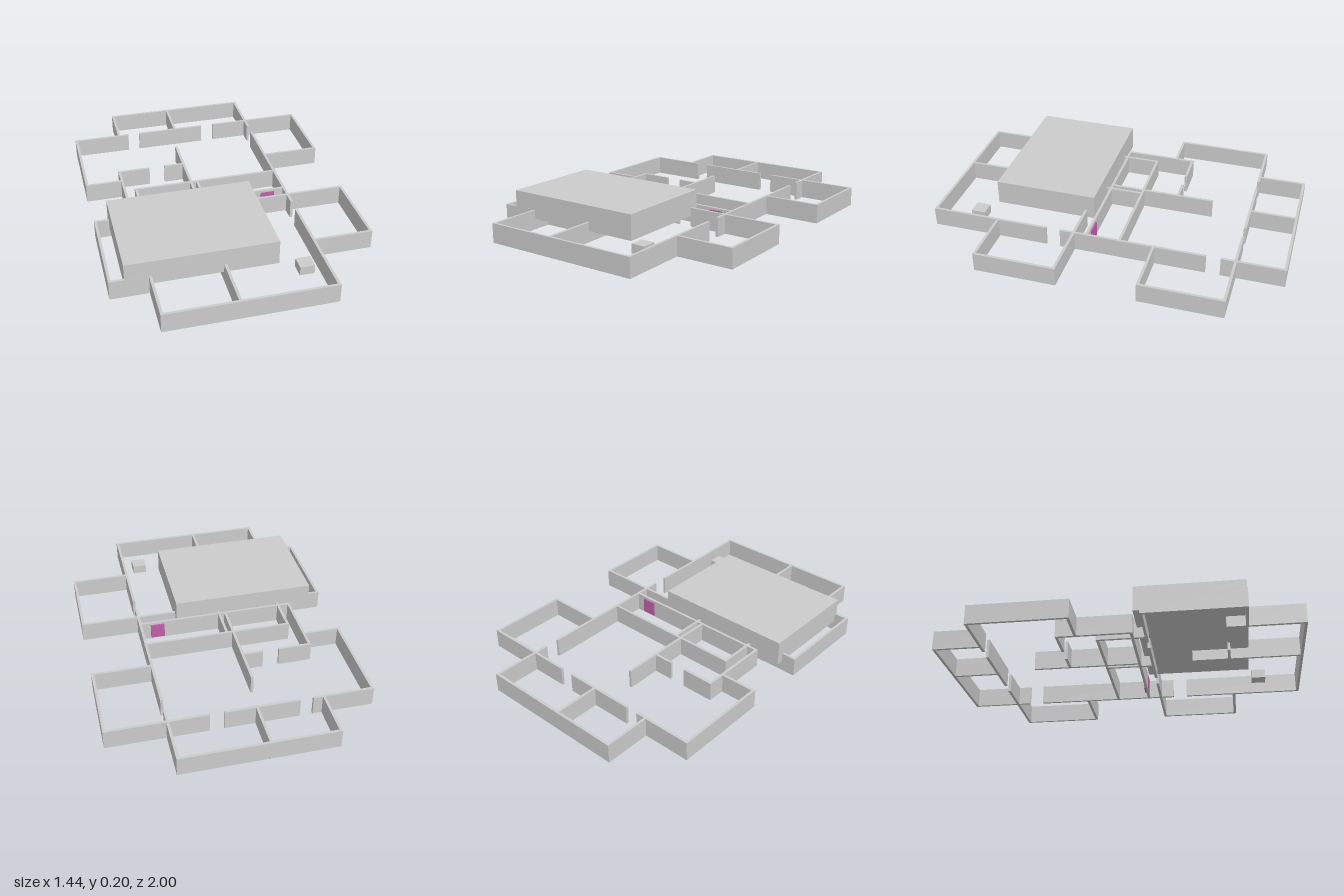
import * as THREE from 'three';

const WALL_HEIGHT = 0.108;
const T = 0.015; // wall thickness
const PLAN_OFFSET = 0.897; // distance between the two identical floor plans

const grey = new THREE.MeshStandardMaterial({ color: 0xcccccc });
const pink = new THREE.MeshStandardMaterial({ color: 0xc060a8 });

// Box given by its minimum and maximum corners
function block(name, [x0, y0, z0], [x1, y1, z1], material = grey) {
  const mesh = new THREE.Mesh(new THREE.BoxGeometry(x1 - x0, y1 - y0, z1 - z0), material);
  mesh.position.set((x0 + x1) / 2, (y0 + y1) / 2, (z0 + z1) / 2);
  mesh.name = name;
  return mesh;
}

// Walls running along x: [z, xStart, xEnd]
const crossWalls = [
  [-0.992, -0.45, 0.397],  // rear rooms
  [-0.731, -0.72, -0.385], // corridor wall with two doorways
  [-0.731, -0.315, 0.093],
  [-0.731, 0.17, 0.717],
  [-0.285, 0.39, 0.717],   // left wing
  [-0.203, -0.72, -0.507], // right wing
  [-0.303, -0.514, -0.327], // inner room with doorway
  [-0.303, -0.235, -0.118],
  [0.093, -0.514, 0.397],  // front wall
];

// Walls running along z: [x, zStart, zEnd]
const lengthWalls = [
  [-0.443, -1, -0.731],
  [-0.081, -1, -0.731],
  [0.389, -1, -0.652],
  [0.389, -0.572, 0.1],
  [-0.713, -0.738, -0.196],
  [0.712, -0.738, -0.278],
  [-0.507, -0.31, 0.1],
  [-0.118, -0.507, 0.1],
];

function floorPlan(name) {
  const plan = new THREE.Group();
  plan.name = name;
  for (const [z, a, b] of crossWalls)
    plan.add(block('crossWall', [a, 0, z - T / 2], [b, WALL_HEIGHT, z + T / 2]));
  for (const [x, a, b] of lengthWalls)
    plan.add(block('lengthWall', [x - T / 2, 0, a], [x + T / 2, WALL_HEIGHT, b]));
  return plan;
}

export function createModel() {
  const model = new THREE.Group();
  model.name = 'floorPlans';

  // Two copies of the same plan, overlapping in the middle
  const rear = floorPlan('rearPlan');
  const front = floorPlan('frontPlan');
  front.position.z = PLAN_OFFSET;
  model.add(rear, front);

  // Large block over the front plan, sunk partly into its walls
  model.add(block('roofBlock', [-0.64, 0.06, 0.117], [0.17, 0.2, 0.701]));

  // Small floating block and coloured door panel
  model.add(block('smallBlock', [0.25, 0.04, 0.72], [0.33, 0.09, 0.8]));
  model.add(block('doorPanel', [0.25, 0.01, 0.077], [0.33, 0.095, 0.102], pink));

  return model;
}
